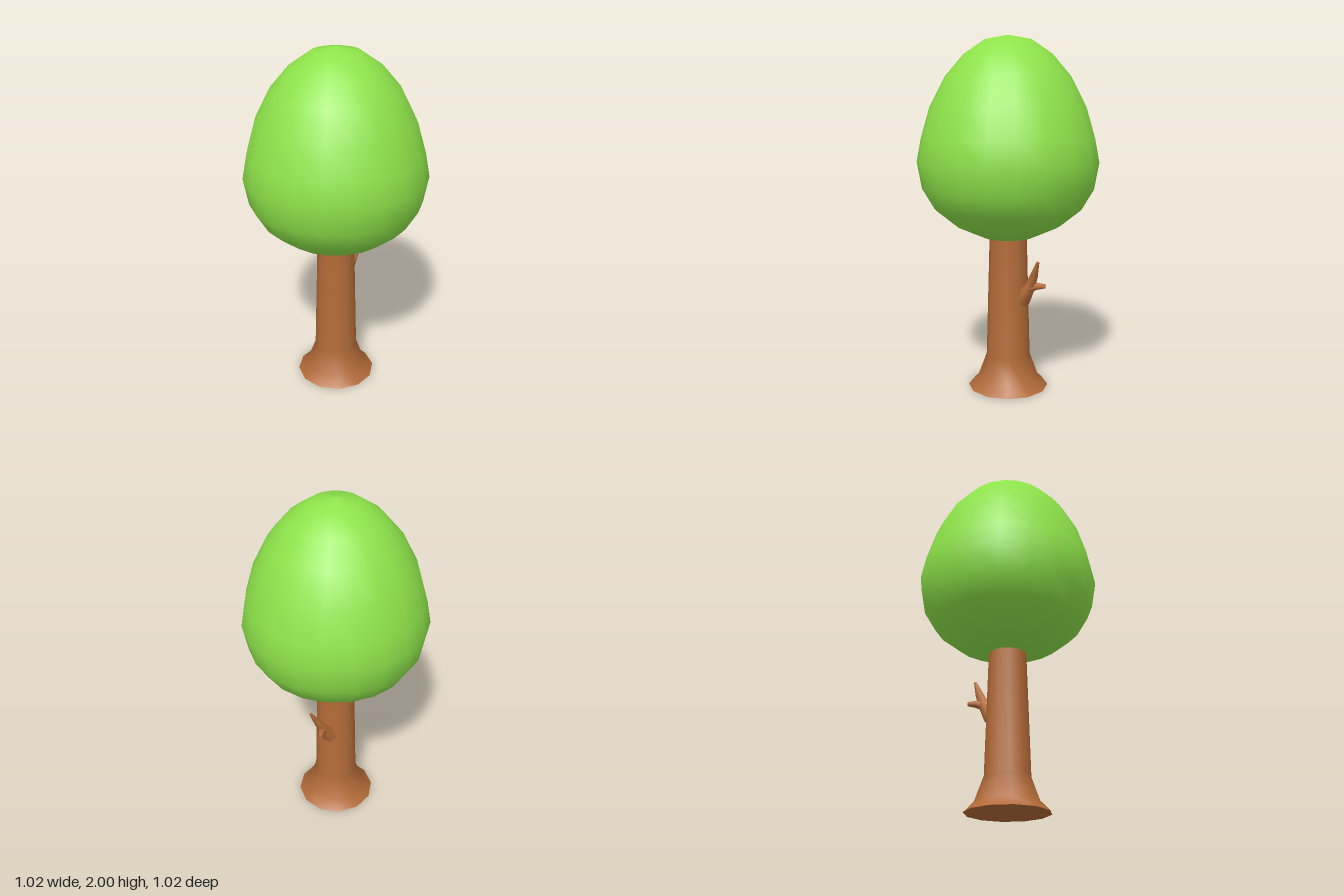
import * as THREE from 'three';

const leafMaterial = new THREE.MeshStandardMaterial({ color: 0x8ee34a });
const barkMaterial = new THREE.MeshStandardMaterial({ color: 0xb36b38 });

function addMesh(parent, name, geometry, material) {
  const mesh = new THREE.Mesh(geometry, material);
  mesh.name = name;
  parent.add(mesh);
  return mesh;
}

// Turned shape from [radius, height] pairs, listed bottom to top
function turned(profile, sides) {
  return new THREE.LatheGeometry(profile.map(([r, y]) => new THREE.Vector2(r, y)), sides);
}

// Tapered limb: rings of a cylinder moved onto stations [x, y, z, radius]
function limb(stations, sides) {
  const n = stations.length - 1;
  const points = stations.map(([x, y, z]) => new THREE.Vector3(x, y, z));
  const geometry = new THREE.CylinderGeometry(1, 1, 1, sides, n);
  const position = geometry.attributes.position;
  const up = new THREE.Vector3(0, 1, 0);
  const v = new THREE.Vector3();
  const turn = new THREE.Quaternion();
  for (let i = 0; i < position.count; i++) {
    v.fromBufferAttribute(position, i);
    const k = Math.round((v.y + 0.5) * n);
    const direction = points[Math.min(k + 1, n)].clone().sub(points[Math.max(k - 1, 0)]).normalize();
    turn.setFromUnitVectors(up, direction);
    v.setY(0).multiplyScalar(stations[k][3]).applyQuaternion(turn).add(points[k]);
    position.setXYZ(i, v.x, v.y, v.z);
  }
  geometry.computeVertexNormals();
  return geometry;
}

export function createModel() {
  const tree = new THREE.Group();
  tree.name = 'tree';

  // Egg-shaped crown
  addMesh(tree, 'crown', turned([
    [0, 0.878], [0.14, 0.88], [0.297, 0.95], [0.415, 1.045], [0.483, 1.16], [0.51, 1.31],
    [0.485, 1.44], [0.435, 1.61], [0.35, 1.775], [0.247, 1.895], [0.13, 1.975], [0, 2],
  ], 20), leafMaterial);

  // Trunk with a flared foot, closed underneath
  addMesh(tree, 'trunk', turned([
    [0.23, 0], [0.175, 0.055], [0.125, 0.19], [0.105, 0.92],
  ], 12), barkMaterial);
  const base = addMesh(tree, 'trunkBase', new THREE.CircleGeometry(0.23, 12), barkMaterial);
  base.rotation.x = Math.PI / 2;

  // Broken branch at the back with a short stub on it
  const branch = new THREE.Group();
  branch.name = 'branch';
  tree.add(branch);
  addMesh(branch, 'branchLimb', limb([
    [0, 0.525, -0.085, 0.055], [0.01, 0.6, -0.145, 0.031],
    [0.03, 0.68, -0.185, 0.022], [0.055, 0.765, -0.223, 0.008],
  ], 7), barkMaterial);
  addMesh(branch, 'branchStub', limb([
    [0.015, 0.605, -0.145, 0.034], [0.002, 0.614, -0.19, 0.02], [-0.012, 0.616, -0.235, 0.012],
  ], 6), barkMaterial);

  return tree;
}
